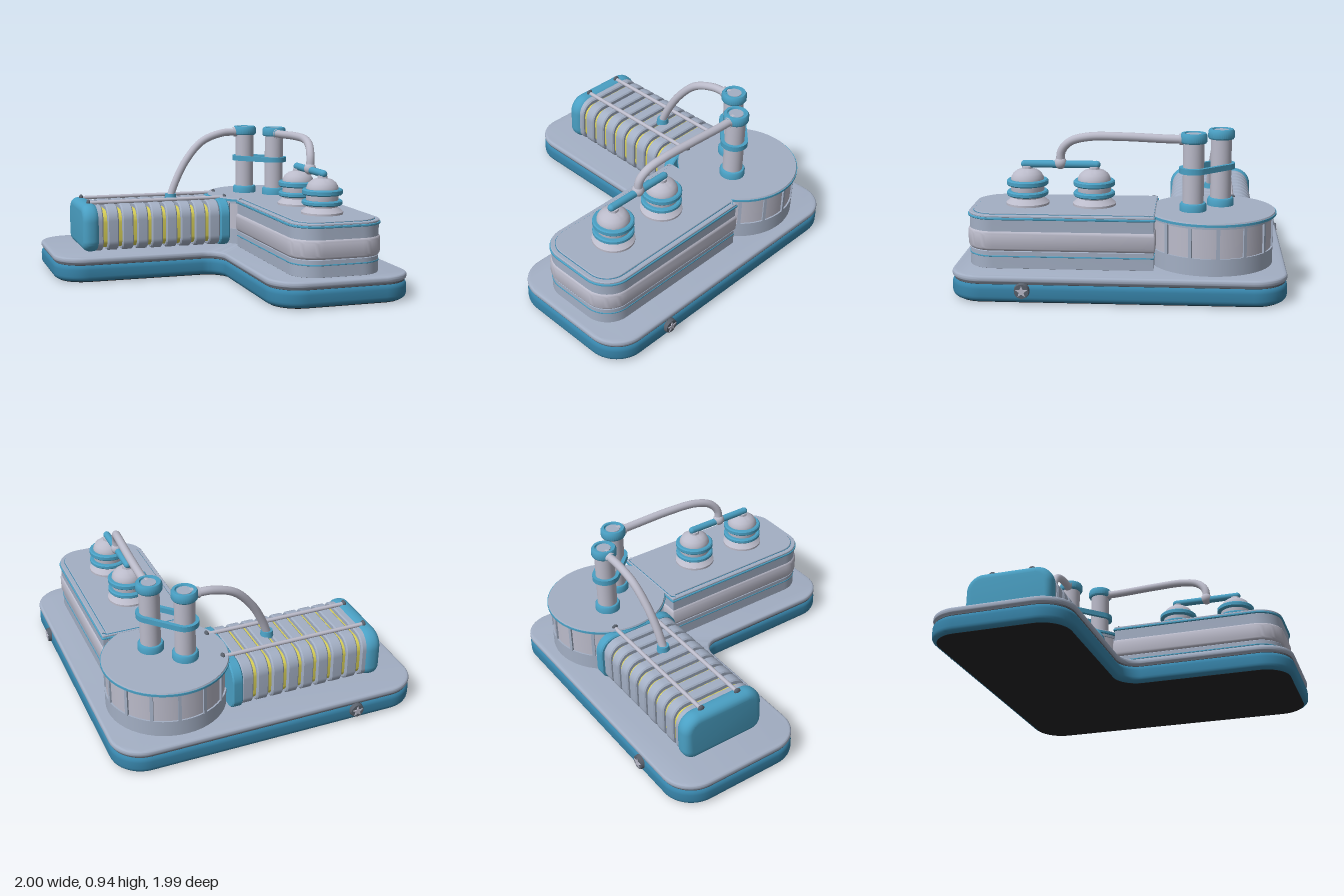
import * as THREE from 'three';
import { toCreasedNormals } from 'three/addons/utils/BufferGeometryUtils.js';

const material = (name, color, side = THREE.FrontSide) => {
  const m = new THREE.MeshStandardMaterial({ color, side });
  m.name = name;
  return m;
};

// Closed outline with a rounded corner of its own radius at each [x, y, radius]
function roundedShape(corners) {
  const s = new THREE.Shape();
  const n = corners.length;
  corners.forEach(([x, y, r], i) => {
    const p = new THREE.Vector2(x, y);
    const toward = (c) => new THREE.Vector2(c[0], c[1]).sub(p).normalize().multiplyScalar(r).add(p);
    const a = toward(corners[(i + n - 1) % n]);
    const b = toward(corners[(i + 1) % n]);
    const c = a.clone().lerp(p, 0.5523), d = b.clone().lerp(p, 0.5523);
    if (i) s.lineTo(a.x, a.y); else s.moveTo(a.x, a.y);
    s.bezierCurveTo(c.x, c.y, d.x, d.y, b.x, b.y);
  });
  s.closePath();
  return s;
}

// Extrusion from z = 0 to z = h with rounded edges inside the outline
function slab(shape, h, bevel = 0.004, inset = 0, bevelDepth = bevel) {
  const g = new THREE.ExtrudeGeometry(shape, {
    depth: h - 2 * bevelDepth, bevelSize: bevel, bevelThickness: bevelDepth,
    bevelOffset: -bevel - inset, bevelSegments: bevel > 0.01 ? 5 : 1, curveSegments: 14,
  });
  return toCreasedNormals(g.translate(0, 0, bevelDepth), 0.6);
}

export function createModel() {
  const model = new THREE.Group();
  const grey = material('bluish grey', 0xa3afc4);
  const pale = material('pale metal', 0xbbbbca);
  const blue = material('bright blue', 0x4aa0c4);
  const deepBlue = material('deep blue', 0x3784aa);
  const yellow = material('yellow', 0xd8d058);
  const dark = material('dark underside', 0x242426);
  const steel = material('dark steel', 0x5a616c);

  const add = (name, geo, mat, x = 0, y = 0, z = 0, parent = model) => {
    const m = new THREE.Mesh(geo, mat);
    m.name = name;
    m.position.set(x, y, z);
    parent.add(m);
    return m;
  };
  // Horizontal layer of a plan drawn in x and z
  const layer = (name, shape, y0, y1, mat, bevel, inset) =>
    add(name, slab(shape, y1 - y0, bevel, inset).rotateX(Math.PI / 2), mat, 0, y1, 0);
  const disc = (name, r, y0, y1, mat, x, z, rTop = r) =>
    add(name, new THREE.CylinderGeometry(rTop, r, y1 - y0, 48), mat, x, (y0 + y1) / 2, z);
  const lathe = (name, points, mat, x, y, z) =>
    add(name, toCreasedNormals(new THREE.LatheGeometry(points.map((p) => new THREE.Vector2(...p)), 40), 0.6), mat, x, y, z);
  const tube = (name, points, r, mat) => {
    const curve = new THREE.CatmullRomCurve3(points.map((p) => new THREE.Vector3(...p)));
    return add(name, new THREE.TubeGeometry(curve, 40, r, 14), mat);
  };

  // L-shaped base
  const plan = roundedShape([
    [-1, -0.98, 0.2], [0.975, -0.98, 0.2], [0.975, 0.99, 0.2],
    [0.075, 0.99, 0.2], [0.075, -0.085, 0.12], [-1, -0.085, 0.2],
  ]);
  layer('baseUnderside', plan, 0, 0.012, dark, 0.004, 0.03);
  layer('baseBody', plan, 0.004, 0.12, deepBlue, 0.036);
  layer('baseGroove', plan, 0.11, 0.13, steel, 0.004, 0.012);
  layer('baseTop', plan, 0.123, 0.163, grey, 0.016);

  // Ribbed barrel lying along x
  const zBarrel = -0.535;
  const profile = (w, y0, y1, r) => roundedShape([
    [-w, y0, r * 0.7], [w, y0, r * 0.7], [w, y1, r], [-w, y1, r],
  ]);
  const along = (name, shape, x0, x1, mat, bevel, depth) =>
    add(name, slab(shape, x1 - x0, bevel, 0, depth).rotateY(Math.PI / 2), mat, x0, 0, zBarrel);
  along('barrelCore', profile(0.245, 0.182, 0.432, 0.08), -0.72, 0.16, yellow);
  const rib = profile(0.265, 0.162, 0.463, 0.1);
  for (let i = 0; i < 9; i++) {
    const x0 = i === 0 ? -0.74 : -0.737 + i * 0.1;
    along('barrelRib', rib, x0, x0 + 0.075, grey, 0.008);
  }
  along('barrelEndCap', profile(0.28, 0.16, 0.472, 0.11), -0.8, -0.685, blue, 0.045, 0.05);
  along('barrelCollar', profile(0.283, 0.16, 0.468, 0.11), 0.138, 0.205, blue, 0.008);
  for (const z of [-0.665, -0.405]) {
    tube('barrelRail', [[-0.74, 0.472, z], [-0.25, 0.472, z], [0.21, 0.472, z]], 0.013, pale);
    for (const x of [-0.74, 0.21]) {
      const knob = add('railKnob', new THREE.SphereGeometry(0.013, 14, 10), steel, x, 0.476, z);
      knob.scale.set(1, 1.5, 1.7);
    }
  }

  // Round drum at the corner
  const dx = 0.53, dz = -0.535;
  disc('drumFoot', 0.37, 0.16, 0.265, grey, dx, dz);
  disc('drumPanels', 0.36, 0.265, 0.458, pale, dx, dz);
  for (let i = 0; i < 14; i++) {
    const a = ((6 + i * 360 / 14) * Math.PI) / 180;
    const bar = add('drumRib', new THREE.BoxGeometry(0.02, 0.195, 0.02), grey,
      dx + Math.cos(a) * 0.361, 0.36, dz - Math.sin(a) * 0.361);
    bar.rotation.y = a;
  }
  disc('drumUpperBand', 0.37, 0.44, 0.462, grey, dx, dz);
  disc('drumRim', 0.388, 0.457, 0.471, blue, dx, dz);
  disc('drumLid', 0.385, 0.469, 0.479, grey, dx, dz, 0.38);

  // Long front block, built from stacked layers
  const block = roundedShape([
    [0.23, -0.21, 0.01], [0.82, -0.21, 0.01], [0.82, 0.915, 0.17], [0.23, 0.915, 0.17],
  ]);
  layer('blockFoot', block, 0.16, 0.27, grey, 0.004, 0.01);
  layer('blockStripe', block, 0.233, 0.241, blue, 0.001, 0.007);
  layer('blockBulge', block, 0.265, 0.395, pale, 0.03);
  layer('blockUpper', block, 0.38, 0.46, grey, 0.004, 0.01);
  layer('blockRim', block, 0.457, 0.471, blue, 0.003);
  layer('blockLid', block, 0.468, 0.484, grey, 0.004, 0.006);
  layer('blockLidLine', block, 0.48, 0.486, deepBlue, 0.001, 0.033);
  layer('blockLidPanel', block, 0.48, 0.492, grey, 0.003, 0.037);

  // Two ringed domes joined by a pipe
  for (const z of [0.17, 0.575]) {
    lathe('domeBody', [
      [0.13, 0.488], [0.13, 0.505], [0.118, 0.515], [0.095, 0.535], [0.1, 0.55], [0.1, 0.645],
      [0.097, 0.66], [0.085, 0.682], [0.062, 0.7], [0.032, 0.71], [0.03, 0.725], [0, 0.728],
    ], pale, 0.525, 0, z);
    for (const [y0, y1] of [[0.547, 0.577], [0.61, 0.645]]) {
      lathe('domeRing', [
        [0.095, y0], [0.118, y0], [0.125, y0 + 0.007], [0.125, y1 - 0.007], [0.118, y1], [0.095, y1],
      ], blue, 0.525, 0, z);
    }
  }
  tube('domePipe', [[0.525, 0.737, 0.155], [0.525, 0.737, 0.37], [0.525, 0.737, 0.59]], 0.023, blue);
  for (const z of [0.155, 0.59]) add('pipeEnd', new THREE.SphereGeometry(0.023, 16, 12), blue, 0.525, 0.737, z);

  // Twin columns held by a strap
  const columns = [[0.42, -0.59], [0.58, -0.425]];
  for (const [x, z] of columns) {
    disc('columnBody', 0.063, 0.5, 0.9, pale, x, z);
    lathe('columnFoot', [[0.08, 0.475], [0.08, 0.515], [0.074, 0.525], [0.06, 0.528]], blue, x, 0, z);
    lathe('columnCap', [
      [0.06, 0.885], [0.074, 0.886], [0.08, 0.895], [0.08, 0.932], [0.072, 0.945],
      [0.056, 0.945], [0.052, 0.936], [0, 0.936],
    ], blue, x, 0, z);
    disc('columnCapDisc', 0.045, 0.934, 0.94, grey, x, z);
  }
  const half = Math.hypot(0.16, 0.165) / 2;
  const capsule = (path, r) => {
    path.absarc(half, 0, r, -Math.PI / 2, Math.PI / 2, false);
    path.absarc(-half, 0, r, Math.PI / 2, Math.PI * 1.5, false);
    path.closePath();
    return path;
  };
  const belt = capsule(new THREE.Shape(), 0.085);
  belt.holes.push(capsule(new THREE.Path(), 0.061));
  const beltGeo = new THREE.ExtrudeGeometry(belt, { depth: 0.034, bevelEnabled: false, curveSegments: 24 });
  const strap = add('columnStrap', toCreasedNormals(beltGeo.rotateX(Math.PI / 2), 0.6), blue, 0.5, 0.74, -0.5075);
  strap.rotation.y = -Math.atan2(0.165, 0.16);

  // Hoses and their fittings
  tube('barrelHose', [
    [0.36, 0.905, -0.59], [0.25, 0.9, -0.588], [0.1, 0.845, -0.575],
    [-0.02, 0.72, -0.555], [-0.1, 0.58, -0.538], [-0.14, 0.48, -0.53],
  ], 0.026, pale);
  tube('barrelHoseCollar', [[0.39, 0.908, -0.59], [0.36, 0.907, -0.59], [0.33, 0.905, -0.59]], 0.034, pale);
  disc('barrelHoseFoot', 0.042, 0.455, 0.495, blue, -0.14, -0.53, 0.036);
  tube('domeHose', [
    [0.58, 0.905, -0.36], [0.58, 0.908, -0.25], [0.575, 0.917, 0], [0.562, 0.912, 0.2],
    [0.545, 0.88, 0.31], [0.53, 0.82, 0.365], [0.525, 0.74, 0.375],
  ], 0.026, pale);
  tube('domeHoseCollar', [[0.58, 0.908, -0.4], [0.58, 0.907, -0.37], [0.58, 0.906, -0.34]], 0.034, pale);
  add('domeHoseJoint', new THREE.SphereGeometry(0.038, 20, 14), pale, 0.525, 0.745, 0.373);

  // Round studs with a star, on the left side and the back of the base
  const star = new THREE.Shape();
  for (let i = 0; i < 10; i++) {
    const r = i % 2 ? 0.015 : 0.036, a = Math.PI / 2 + (i * Math.PI) / 5;
    star[i ? 'lineTo' : 'moveTo'](Math.cos(a) * r, Math.sin(a) * r);
  }
  star.closePath();
  const stud = (x, z, turn) => {
    const g = new THREE.Group();
    g.name = 'sideStud';
    g.position.set(x, 0.08, z);
    g.rotation.y = turn;
    model.add(g);
    add('studDisc', new THREE.CylinderGeometry(0.042, 0.047, 0.024, 32).rotateX(Math.PI / 2), steel, 0, 0, 0, g);
    add('studStar', new THREE.ExtrudeGeometry(star, { depth: 0.006, bevelEnabled: false }), pale, 0, 0, 0.011, g);
  };
  stud(0.982, 0.55, Math.PI / 2);
  stud(-0.55, -0.987, Math.PI);

  return model;
}
